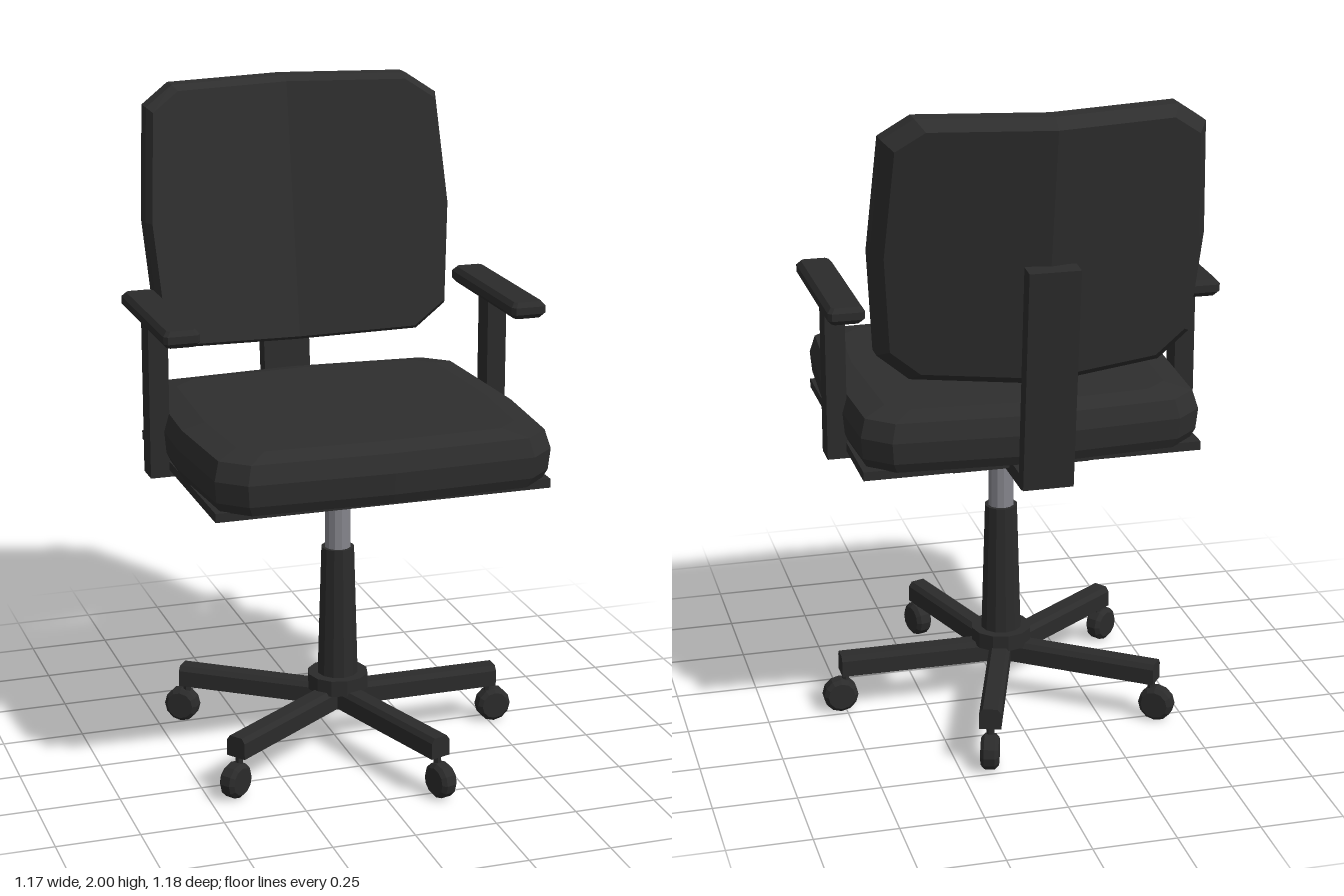
import * as THREE from 'three';

const mat = (name, color) => {
  const m = new THREE.MeshStandardMaterial({ color, flatShading: true });
  m.name = name;
  return m;
};

// Mirrors a half outline (x >= 0, bottom to top) and stacks inset copies along z.
// layers: [height, inset] pairs; both ends are closed with a fan.
function padGeometry(half, layers) {
  const outline = [...half, ...half.slice(1, -1).reverse().map(([x, y]) => [-x, y])];
  const ys = half.map((p) => p[1]);
  const lo = Math.min(...ys), hi = Math.max(...ys);
  const cy = (lo + hi) / 2, hh = (hi - lo) / 2;
  const hw = Math.max(...half.map((p) => p[0]));
  const rings = layers.map(([z, d]) =>
    outline.map(([x, y]) => [x * (1 - d / hw), cy + (y - cy) * (1 - d / hh), z]));
  const pos = [];
  const tri = (...pts) => pts.forEach((p) => pos.push(...p));
  const n = outline.length, first = rings[0], last = rings[rings.length - 1];
  for (let i = 0; i < n; i++) {
    const j = (i + 1) % n;
    for (let k = 0; k + 1 < rings.length; k++) {
      const a = rings[k], b = rings[k + 1];
      tri(a[i], a[j], b[j]);
      tri(a[i], b[j], b[i]);
    }
    tri([0, cy, last[0][2]], last[i], last[j]);
    tri([0, cy, first[0][2]], first[j], first[i]);
  }
  const g = new THREE.BufferGeometry();
  g.setAttribute('position', new THREE.Float32BufferAttribute(pos, 3));
  return g;
}

export function createModel() {
  const fabric = mat('black fabric', 0x2e2e2e);
  const plastic = mat('black plastic', 0x2b2b2b);
  const steel = mat('grey steel', 0x85858c);
  const chair = new THREE.Group();
  chair.name = 'officeChair';

  const add = (parent, name, geo, material, x = 0, y = 0, z = 0) => {
    geo.computeVertexNormals();
    const m = new THREE.Mesh(geo, material);
    m.name = name;
    m.position.set(x, y, z);
    parent.add(m);
    return m;
  };
  // Box given by its minimum and maximum corners
  const box = (parent, name, [x0, y0, z0], [x1, y1, z1], material = plastic) =>
    add(parent, name, new THREE.BoxGeometry(x1 - x0, y1 - y0, z1 - z0), material,
      (x0 + x1) / 2, (y0 + y1) / 2, (z0 + z1) / 2);

  // Seat cushion, drawn flat (front towards -y) and laid down
  const seat = padGeometry(
    [[0, -0.56], [0.43, -0.545], [0.508, -0.475], [0.53, -0.15], [0.508, 0.33], [0.43, 0.4], [0, 0.43]],
    [[0.94, 0.02], [0.97, 0.006], [1.035, 0], [1.09, 0.016], [1.105, 0.09]]);
  add(chair, 'seatCushion', seat.rotateX(-Math.PI / 2), fabric);

  // Backrest, leaning back and folded along its centre line
  const back = padGeometry(
    [[0, 1.19], [0.37, 1.213], [0.463, 1.29], [0.487, 1.6], [0.463, 1.94], [0.375, 2], [0, 2]],
    [[-0.127, 0.03], [-0.085, 0], [-0.03, 0], [0, 0.015]]);
  const p = back.attributes.position;
  for (let i = 0; i < p.count; i++) {
    p.setZ(i, p.getZ(i) - 0.345 - (p.getY(i) - 1.22) * 0.165 + Math.abs(p.getX(i)) * 0.19);
  }
  add(chair, 'backrest', back, fabric);

  // Parts under the seat
  box(chair, 'seatPlate', [-0.508, 0.915, -0.36], [0.508, 0.942, 0.48]);
  box(chair, 'mechanismBox', [-0.21, 0.855, -0.215], [0.21, 0.916, 0.245]);
  box(chair, 'armBracket', [-0.565, 0.893, -0.11], [0.565, 0.92, -0.03]);
  box(chair, 'spineBracket', [-0.075, 0.895, -0.495], [0.075, 0.938, -0.2]);

  // Slanted backrest support
  const spine = new THREE.Shape();
  [[-0.46, 0.9], [-0.52, 1.57], [-0.575, 1.565], [-0.512, 0.9]].forEach(([z, y], i) =>
    i ? spine.lineTo(-z, y) : spine.moveTo(-z, y));
  const spineGeo = new THREE.ExtrudeGeometry(spine, { depth: 0.15, bevelEnabled: false });
  spineGeo.translate(0, 0, -0.075).rotateY(Math.PI / 2);
  add(chair, 'backSupport', spineGeo, plastic);

  // Armrests
  for (const side of [-1, 1]) {
    const arm = new THREE.Group();
    arm.name = side > 0 ? 'leftArmrest' : 'rightArmrest';
    const px = side * 0.535;
    box(arm, 'armPost', [px - 0.03, 0.893, -0.11], [px + 0.03, 1.375, -0.03]);
    const pad = padGeometry(
      [[0, -0.262], [0.043, -0.262], [0.054, -0.25], [0.054, 0.25], [0.043, 0.262], [0, 0.262]],
      [[1.362, 0.012], [1.376, 0], [1.398, 0], [1.412, 0.012]]);
    add(arm, 'armPad', pad.rotateX(-Math.PI / 2), plastic, side * 0.531, 0, -0.021);
    chair.add(arm);
  }

  // Height lever
  const lever = new THREE.CatmullRomCurve3([
    new THREE.Vector3(0.19, 0.885, 0.09), new THREE.Vector3(0.32, 0.88, 0.12),
    new THREE.Vector3(0.46, 0.862, 0.21)]);
  add(chair, 'heightLever', new THREE.TubeGeometry(lever, 6, 0.008, 6), plastic);
  add(chair, 'leverKnob', new THREE.SphereGeometry(0.023, 8, 6), plastic, 0.46, 0.862, 0.21);

  // Column and five-legged base
  const base = new THREE.Group();
  base.name = 'base';
  base.position.z = 0.035;
  chair.add(base);
  const cyl = (name, top, bottom, y0, y1, material = plastic) =>
    add(base, name, new THREE.CylinderGeometry(top, bottom, y1 - y0, 12), material, 0, (y0 + y1) / 2, 0);
  cyl('gasLift', 0.04, 0.04, 0.6, 0.86, steel);
  cyl('column', 0.051, 0.064, 0.2, 0.64);
  cyl('hubRing', 0.094, 0.094, 0.18, 0.23);
  cyl('hubCore', 0.06, 0.05, 0.12, 0.185);

  const section = new THREE.Shape();
  [[-0.033, 0.125], [0.033, 0.125], [0.033, 0.175], [0.022, 0.19], [-0.022, 0.19], [-0.033, 0.175]]
    .forEach(([x, y], i) => (i ? section.lineTo(x, y) : section.moveTo(x, y)));
  for (let i = 0; i < 5; i++) {
    const leg = new THREE.Group();
    leg.name = 'leg' + (i + 1);
    leg.rotation.y = (i * 2 * Math.PI) / 5;
    const beam = new THREE.ExtrudeGeometry(section, { depth: 0.515, bevelEnabled: false });
    add(leg, 'legBeam', beam.rotateY(Math.PI / 2), plastic);
    add(leg, 'casterPin', new THREE.CylinderGeometry(0.012, 0.012, 0.08, 6), plastic, 0.5, 0.1, 0);
    // Caster wheel with bevelled rims
    const wheel = new THREE.LatheGeometry(
      [[0, -0.027], [0.042, -0.027], [0.054, -0.016], [0.054, 0.016], [0.042, 0.027], [0, 0.027]]
        .map(([r, h]) => new THREE.Vector2(r, h)), 12);
    add(leg, 'casterWheel', wheel.rotateX(Math.PI / 2), plastic, 0.517, 0.054, 0);
    base.add(leg);
  }
  return chair;
}
